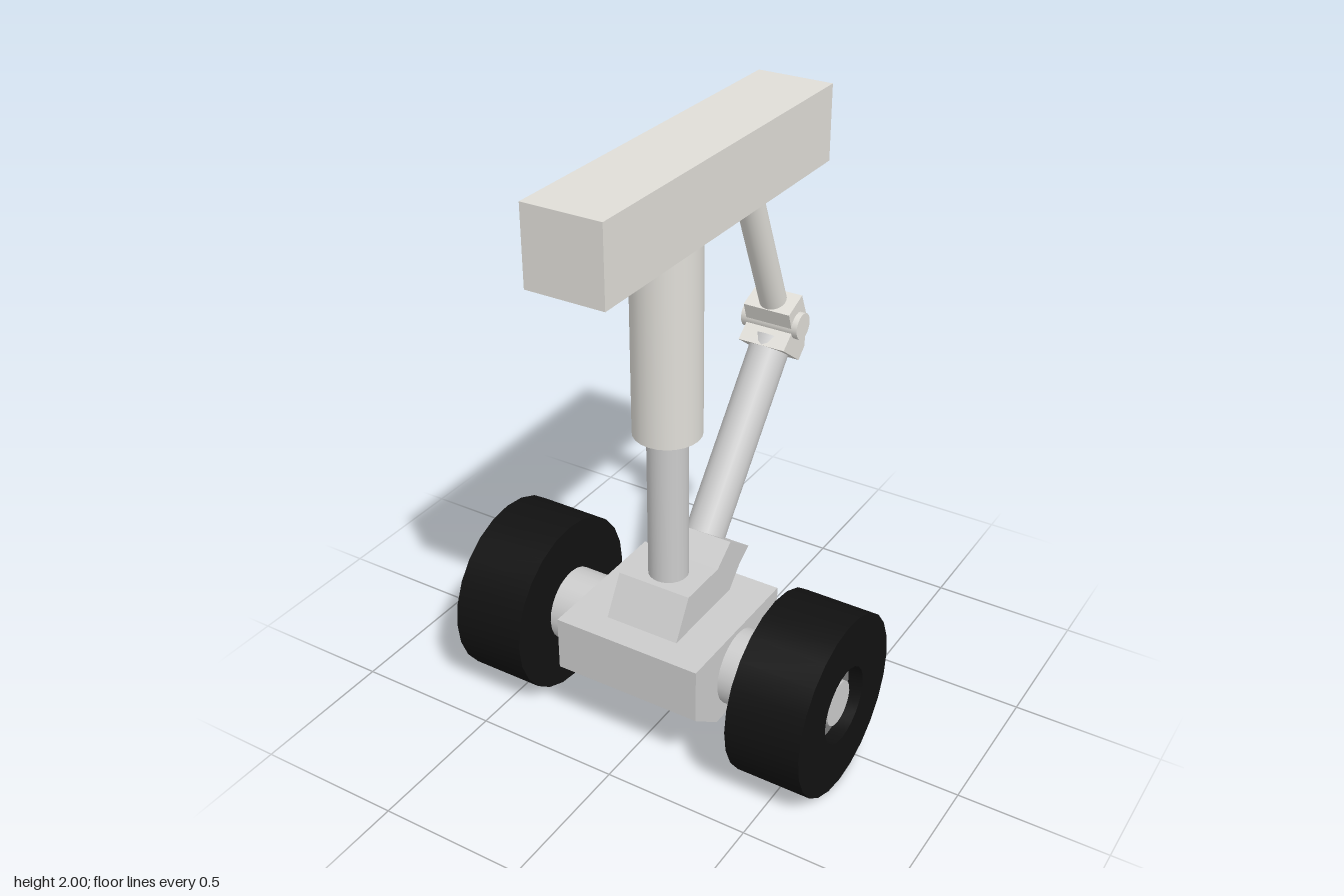
import * as THREE from 'three';
import { toCreasedNormals } from 'three/addons/utils/BufferGeometryUtils.js';

const grey = new THREE.MeshStandardMaterial({ color: 0xcccccc });
const pale = new THREE.MeshStandardMaterial({ color: 0xe0ded8 });
const dark = new THREE.MeshStandardMaterial({ color: 0x7a7a7a });
const black = new THREE.MeshStandardMaterial({ color: 0x111111 });

const STRUT_Z = 0.13;
const AXLE_Y = 0.305;

export function createModel() {
  const model = new THREE.Group();
  model.name = 'landingGear';

  const add = (name, geometry, material, parent = model) => {
    const mesh = new THREE.Mesh(geometry, material);
    mesh.name = name;
    parent.add(mesh);
    return mesh;
  };

  // Side profile of [z, y] points, extruded across x and centred
  const plate = (points, width) => {
    const shape = new THREE.Shape(points.map(([z, y]) => new THREE.Vector2(z, y)));
    return new THREE.ExtrudeGeometry(shape, { depth: width, bevelEnabled: false })
      .translate(0, 0, -width / 2)
      .rotateY(-Math.PI / 2);
  };

  // Round bar between two [z, y] points in the centre plane
  const rod = (name, a, b, radius, material) => {
    const start = new THREE.Vector3(0, a[1], a[0]);
    const end = new THREE.Vector3(0, b[1], b[0]);
    const axis = end.clone().sub(start);
    const mesh = add(name, new THREE.CylinderGeometry(radius, radius, axis.length(), 24), material);
    mesh.position.copy(start).add(end).multiplyScalar(0.5);
    mesh.quaternion.setFromUnitVectors(new THREE.Vector3(0, 1, 0), axis.normalize());
    return mesh;
  };

  // Mounting beam and telescopic main leg
  add('mountingBeam', new THREE.BoxGeometry(0.26, 0.25, 1.26), pale).position.y = 1.875;
  rod('outerCylinder', [STRUT_Z, 1.1], [STRUT_Z, 1.76], 0.11, pale);
  rod('innerPiston', [STRUT_Z, 0.5], [STRUT_Z, 1.15], 0.066, grey);

  // Axle block with chamfered underside
  add('axleBlock', plate([
    [0.39, 0.45], [-0.13, 0.45], [-0.13, 0.26], [0, 0.16], [0.26, 0.16], [0.39, 0.26],
  ], 0.52), grey);

  // Foot on the block, with a lug tilted toward the brace
  add('footBracket', plate([
    [0.3, 0.44], [0.22, 0.58], [0.04, 0.58], [-0.04, 0.64], [-0.16, 0.555], [-0.1, 0.515], [-0.03, 0.44],
  ], 0.26), grey);

  // Folding brace: two bars meeting at a pinned knuckle
  rod('lowerBrace', [-0.07, 0.56], [-0.53, 1.13], 0.068, grey);
  rod('upperBrace', [-0.315, 1.78], [-0.54, 1.24], 0.046, pale);
  add('lowerKnuckle', plate([
    [-0.45, 1.14], [-0.505, 1.185], [-0.55, 1.2], [-0.6, 1.2], [-0.6, 1.095], [-0.56, 1.058],
  ], 0.17), pale);
  add('upperKnuckle', plate([
    [-0.48, 1.257], [-0.505, 1.185], [-0.55, 1.19], [-0.6, 1.19], [-0.6, 1.22], [-0.568, 1.294],
  ], 0.17), pale);
  const pin = add('knucklePin', new THREE.CylinderGeometry(0.046, 0.046, 0.21, 20), pale);
  pin.rotation.z = Math.PI / 2;
  pin.position.set(0, 1.195, -0.545);

  // Axle
  const axle = add('axle', new THREE.CylinderGeometry(0.128, 0.128, 0.8, 24), grey);
  axle.rotation.z = Math.PI / 2;
  axle.position.set(0, AXLE_Y, STRUT_Z);

  // Wheels: tyre with a recessed rim and a hub stub on the outer side
  const half = 0.128;
  const lathe = (points) => toCreasedNormals(
    new THREE.LatheGeometry(points.map(([r, y]) => new THREE.Vector2(r, y)), 24), 0.6);
  const tyre = lathe([[0.1, -half], [0.305, -half], [0.305, half], [0.13, half], [0.13, half - 0.05]]);
  const rim = lathe([[0.13, half - 0.05], [0.06, half - 0.05]]);
  const hub = new THREE.CylinderGeometry(0.075, 0.075, 0.1, 24).translate(0, half - 0.07, 0);
  for (const side of [1, -1]) {
    const wheel = new THREE.Group();
    wheel.name = side > 0 ? 'leftWheel' : 'rightWheel';
    add('tyre', tyre, black, wheel);
    add('rim', rim, dark, wheel);
    add('hub', hub, grey, wheel);
    wheel.rotation.z = -side * Math.PI / 2;
    wheel.position.set(side * 0.517, AXLE_Y, STRUT_Z);
    model.add(wheel);
  }

  return model;
}
